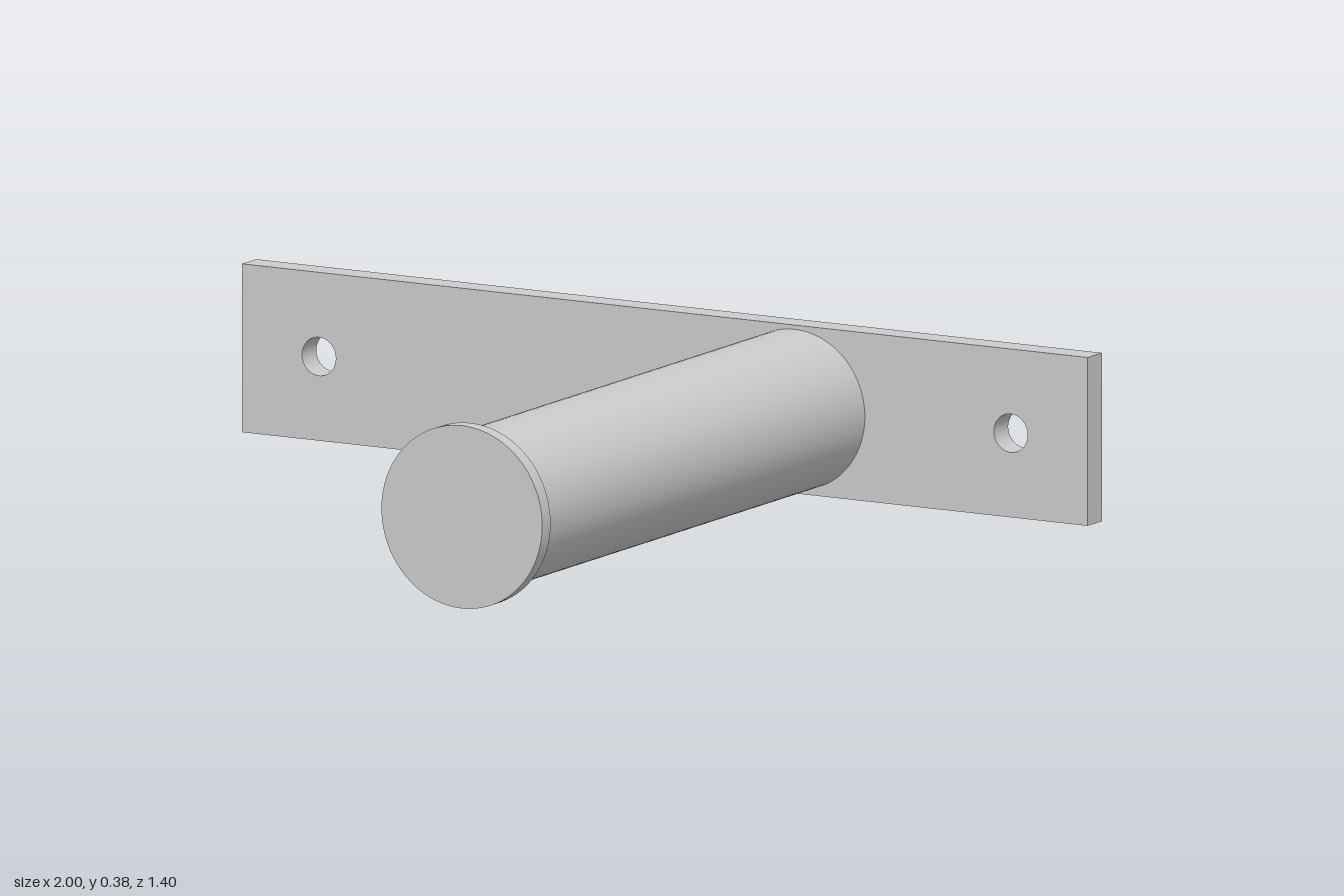
import * as THREE from 'three';

const material = new THREE.MeshStandardMaterial({ color: 0xcccccc });
const CENTER_Y = 0.19, PEG_X = 0.307, HALF_DEPTH = 0.702;
const PLATE_THICKNESS = 0.058, CAP_THICKNESS = 0.034;

function addMesh(group, name, geometry, x, y, z) {
  const mesh = new THREE.Mesh(geometry, material);
  mesh.name = name;
  mesh.position.set(x, y, z);
  group.add(mesh);
}

// Cylinder lying along z, spanning z0 to z1
function addRod(group, name, radius, z0, z1) {
  const geometry = new THREE.CylinderGeometry(radius, radius, z1 - z0, 96).rotateX(Math.PI / 2);
  addMesh(group, name, geometry, PEG_X, CENTER_Y, (z0 + z1) / 2);
}

export function createModel() {
  const group = new THREE.Group();
  group.name = 'wallPeg';

  // Flat mounting plate with a screw hole near each end
  const w = 1, h = 0.175;
  const outline = new THREE.Shape([
    new THREE.Vector2(-w, -h), new THREE.Vector2(w, -h),
    new THREE.Vector2(w, h), new THREE.Vector2(-w, h),
  ]);
  for (const side of [-1, 1]) {
    outline.holes.push(new THREE.Path().absarc(side * 0.818, 0, 0.04, 0, Math.PI * 2, true));
  }
  const plate = new THREE.ExtrudeGeometry(outline, {
    depth: PLATE_THICKNESS, bevelEnabled: false, curveSegments: 48,
  });
  addMesh(group, 'mountingPlate', plate, 0, CENTER_Y, -HALF_DEPTH);

  // Round peg and its wider end cap
  const capBack = HALF_DEPTH - CAP_THICKNESS;
  addRod(group, 'peg', 0.166, -HALF_DEPTH + PLATE_THICKNESS, capBack);
  addRod(group, 'endCap', 0.19, capBack, HALF_DEPTH);

  return group;
}
